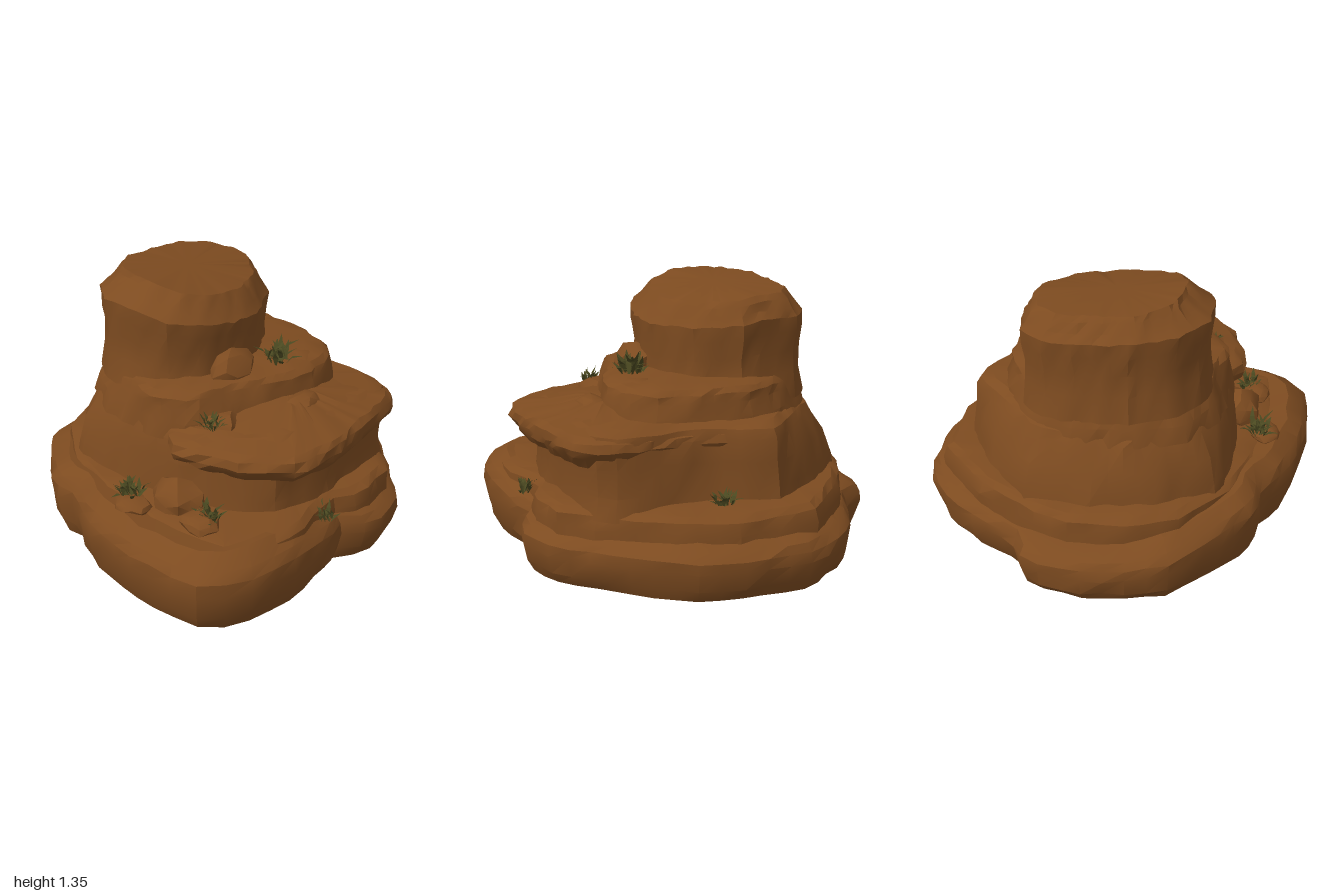
import * as THREE from 'three';
import { toCreasedNormals } from 'three/addons/utils/BufferGeometryUtils.js';

const SIDES = 56;
const clamp01 = (v) => Math.min(1, Math.max(0, v));

function makeRandom(seed) {
  let s = seed;
  return () => (s = (s * 16807) % 2147483647) / 2147483647;
}

// Distance from (cx, cz) to a closed [x, z] outline along an angle
function reach(outline, cx, cz, angle) {
  const dx = Math.cos(angle), dz = Math.sin(angle);
  let best = 0;
  outline.forEach(([ax, az], i) => {
    const [bx, bz] = outline[(i + 1) % outline.length];
    const ex = bx - ax, ez = bz - az;
    const det = ex * dz - ez * dx;
    if (Math.abs(det) < 1e-9) return;
    const px = ax - cx, pz = az - cz;
    const r = (ex * pz - ez * px) / det;
    const u = (dx * pz - dz * px) / det;
    if (u >= -1e-6 && u <= 1 + 1e-6 && r > best) best = r;
  });
  return best;
}

// Closed rock layer. Profile rows: [blend from lower to upper outline, height, scale]
function rockLayer({ lower, upper = lower, centre: [cx, cz], profile, lift = () => 0, rough = 0.01, seed }) {
  const random = makeRandom(seed);
  const pos = [], index = [];
  const top = profile[profile.length - 1][1];
  for (const [t, y, scale] of profile) {
    for (let i = 0; i < SIDES; i++) {
      const a = (i / SIDES) * Math.PI * 2;
      const r0 = reach(lower, cx, cz, a), r1 = reach(upper, cx, cz, a);
      const r = (r0 + (r1 - r0) * t) * scale + (random() - 0.5) * rough * 2;
      const x = cx + Math.cos(a) * r, z = cz + Math.sin(a) * r;
      const bump = y < 0.02 ? 0 : (random() - 0.5) * rough;
      pos.push(x, y + lift(x, z) * (y / top) + bump, z);
    }
  }
  const rows = profile.length;
  for (let j = 0; j < rows - 1; j++) {
    for (let i = 0; i < SIDES; i++) {
      const n = (i + 1) % SIDES;
      const a = j * SIDES + i, b = j * SIDES + n, c = a + SIDES, d = b + SIDES;
      index.push(a, c, b, b, c, d);
    }
  }
  const under = rows * SIDES, over = under + 1, last = (rows - 1) * SIDES;
  pos.push(cx, profile[0][1], cz, cx, top + lift(cx, cz), cz);
  for (let i = 0; i < SIDES; i++) {
    const n = (i + 1) % SIDES;
    index.push(under, i, n, over, last + n, last + i);
  }
  const g = new THREE.BufferGeometry();
  g.setAttribute('position', new THREE.Float32BufferAttribute(pos, 3));
  g.setIndex(index);
  return toCreasedNormals(g, 0.5);
}

// Irregular boulder with half sizes s
function boulderGeometry(s, seed) {
  const g = new THREE.IcosahedronGeometry(1, 1);
  const p = g.attributes.position, v = new THREE.Vector3();
  for (let i = 0; i < p.count; i++) {
    v.fromBufferAttribute(p, i);
    v.multiplyScalar(1 + 0.16 * Math.sin(v.x * 4 + seed) * Math.cos(v.z * 5 + v.y * 3 + seed * 2));
    p.setXYZ(i, v.x, v.y, v.z);
  }
  return toCreasedNormals(g.scale(...s), 0.5);
}

// Tuft of bent, pointed leaves
function tuftGeometry(size, seed) {
  const random = makeRandom(seed);
  const pos = [];
  for (let i = 0; i < 34; i++) {
    const a = random() * Math.PI * 2, c = Math.cos(a), s = Math.sin(a);
    const bx = (random() - 0.5) * size * 0.7, bz = (random() - 0.5) * size * 0.7;
    const out = size * (0.2 + random() * 0.6), h = size * (0.3 + random() * 0.7), w = size * 0.11;
    const l = [bx + c * out * 0.45 - s * w, h * 0.6, bz + s * out * 0.45 + c * w];
    const r = [bx + c * out * 0.45 + s * w, h * 0.6, bz + s * out * 0.45 - c * w];
    const tip = [bx + c * out, h * (0.7 + random() * 0.4), bz + s * out];
    pos.push(bx, -0.01, bz, ...r, ...l, ...l, ...r, ...tip);
  }
  const g = new THREE.BufferGeometry();
  g.setAttribute('position', new THREE.Float32BufferAttribute(pos, 3));
  g.computeVertexNormals();
  return g;
}

export function createModel() {
  const group = new THREE.Group();
  const rock = new THREE.MeshStandardMaterial({ color: 0x7d4b20 });
  rock.name = 'brown rock';
  const leaf = new THREE.MeshStandardMaterial({ color: 0x4a4820, side: THREE.DoubleSide });
  leaf.name = 'olive leaf';
  const add = (name, geometry, material) => {
    const m = new THREE.Mesh(geometry, material);
    m.name = name;
    group.add(m);
    return m;
  };

  // Wide foot of the rock, higher at the front
  add('baseLayer', rockLayer({
    lower: [[-0.15, -1.01], [0.22, -0.96], [0.42, -0.88], [0.55, -0.77], [0.75, -0.53], [0.92, -0.31], [0.95, -0.03],
      [0.83, 0.07], [0.85, 0.2], [0.86, 0.55], [0.77, 0.86], [0.65, 0.98], [0.56, 1], [0.2, 0.985], [-0.15, 0.88],
      [-0.33, 0.74], [-0.5, 0.73], [-0.75, 0.48], [-0.89, 0.32], [-0.94, 0.14], [-0.95, -0.13], [-0.88, -0.39],
      [-0.71, -0.46], [-0.55, -0.71], [-0.42, -0.86]],
    centre: [0, 0], seed: 11, rough: 0.008,
    profile: [[0, 0.01, 0.94], [0, 0.07, 0.98], [0, 0.16, 1], [0, 0.21, 0.995], [0, 0.245, 0.96], [0, 0.28, 0.88]],
    lift: (x, z) => 0.11 * clamp01(z * 1.5 + 0.05 + x * 0.1),
  }), rock);

  // Second step above the foot
  add('lowerLedge', rockLayer({
    lower: [[-0.2, -0.91], [0.2, -0.87], [0.45, -0.75], [0.7, -0.5], [0.86, -0.3], [0.87, -0.03], [0.78, 0.1],
      [0.78, 0.28], [0.83, 0.45], [0.68, 0.82], [0.25, 0.82], [-0.15, 0.72], [-0.45, 0.6], [-0.72, 0.35], [-0.81, 0.1],
      [-0.81, -0.2], [-0.7, -0.42], [-0.5, -0.68]],
    centre: [0, 0], seed: 23, rough: 0.008,
    profile: [[0, 0.18, 1], [0, 0.3, 1], [0, 0.36, 0.985], [0, 0.385, 0.94], [0, 0.4, 0.8]],
    lift: (x) => 0.03 * clamp01(-x * 1.5),
  }), rock);

  // Main wall, leaning inwards on the left
  add('middleWall', rockLayer({
    lower: [[-0.1, -0.76], [0.04, -0.71], [0.16, -0.62], [0.35, -0.57], [0.62, -0.54], [0.74, -0.42], [0.73, 0.1],
      [0.66, 0.4], [0.45, 0.53], [0.2, 0.58], [0, 0.6], [-0.25, 0.59], [-0.48, 0.54], [-0.66, 0.25], [-0.71, -0.1],
      [-0.65, -0.4], [-0.4, -0.62]],
    upper: [[-0.1, -0.73], [0.04, -0.69], [0.16, -0.6], [0.35, -0.56], [0.64, -0.53], [0.76, -0.41], [0.75, 0.1],
      [0.68, 0.38], [0.45, 0.52], [0.2, 0.56], [0, 0.56], [-0.25, 0.5], [-0.45, 0.4], [-0.57, 0.15], [-0.58, -0.15],
      [-0.52, -0.37], [-0.33, -0.53]],
    centre: [0, 0], seed: 37,
    profile: [[0, 0.34, 1.02], [0.05, 0.45, 1], [0.35, 0.58, 1], [0.85, 0.69, 1], [1, 0.735, 0.98], [1, 0.76, 0.9]],
  }), rock);

  // Overhanging shelf on the right, rising inwards
  add('overhangingShelf', rockLayer({
    lower: [[0.05, -0.66], [0.3, -0.57], [0.65, -0.53], [0.81, -0.43], [0.83, -0.1], [0.84, 0.15], [0.79, 0.42],
      [0.55, 0.58], [0.35, 0.63], [0.17, 0.63], [0.08, 0.5], [0, 0]],
    centre: [0.42, 0], seed: 41,
    profile: [[0, 0.58, 0.86], [0, 0.635, 0.97], [0, 0.67, 1], [0, 0.71, 0.98], [0, 0.735, 0.92], [0, 0.76, 0.6],
      [0, 0.8, 0.3]],
  }), rock);

  // Upper step around the foot of the column, fading out at the back left
  add('upperLedge', rockLayer({
    lower: [[-0.08, -0.6], [0.2, -0.55], [0.42, -0.46], [0.52, -0.32], [0.52, -0.08], [0.45, 0.1], [0.37, 0.27],
      [0.28, 0.5], [0.05, 0.58], [-0.3, 0.52], [-0.52, 0.36], [-0.59, 0.1], [-0.58, -0.2], [-0.52, -0.36], [-0.35, -0.51]],
    upper: [[-0.08, -0.56], [0.2, -0.52], [0.4, -0.43], [0.49, -0.32], [0.49, -0.08], [0.41, 0.1], [0.32, 0.26],
      [0.22, 0.48], [0.03, 0.56], [-0.28, 0.45], [-0.47, 0.3], [-0.54, 0.1], [-0.53, -0.2], [-0.46, -0.33], [-0.33, -0.44]],
    centre: [-0.05, 0], seed: 53,
    profile: [[0, 0.68, 1], [0.4, 0.77, 1], [1, 0.84, 1], [1, 0.88, 0.985], [1, 0.905, 0.93], [1, 0.92, 0.78]],
  }), rock);

  // Tall column with a sloping cap, stepped in at the front
  add('column', rockLayer({
    lower: [[-0.5, -0.33], [-0.38, -0.44], [-0.08, -0.44], [0.1, -0.3], [0.2, -0.08], [0.21, 0.1], [0.14, 0.3],
      [0.04, 0.42], [-0.12, 0.47], [-0.35, 0.44], [-0.5, 0.3], [-0.56, 0.08], [-0.54, -0.2]],
    upper: [[-0.46, -0.27], [-0.35, -0.4], [-0.08, -0.4], [0.08, -0.24], [0.15, 0], [0.11, 0.2], [0.03, 0.31],
      [-0.12, 0.37], [-0.38, 0.3], [-0.5, 0.12], [-0.49, -0.1]],
    centre: [-0.18, 0], seed: 67, rough: 0.008,
    profile: [[0, 0.8, 1.03], [0, 0.93, 0.98], [0, 1.04, 0.97], [0, 1.14, 1], [0, 1.215, 1.01], [0.5, 1.25, 1],
      [1, 1.295, 1], [1, 1.32, 0.93]],
    lift: (x, z) => 0.075 * z - 0.2 * Math.max(0, x + 0.17) + 0.01,
  }), rock);

  // Boulders half sunk in the ledges: position, half sizes
  [[[0.19, 0.92, 0.14], [0.11, 0.1, 0.14]], [[0.23, 0.42, 0.62], [0.14, 0.11, 0.11]],
    [[0.42, 0.4, 0.7], [0.1, 0.05, 0.08]], [[0.52, 0.76, 0], [0.08, 0.06, 0.13]],
    [[0.29, 0.74, 0.37], [0.11, 0.07, 0.1]], [[0.06, 0.39, 0.75], [0.1, 0.04, 0.08]],
    [[0.36, 0.89, -0.2], [0.08, 0.03, 0.1]]].forEach(([p, s], i) => {
    add('boulder', boulderGeometry(s, i + 1), rock).position.set(...p);
  });

  // Plant tufts: position, size
  [[0.32, 0.91, -0.06, 0.135], [0.31, 0.76, 0.45, 0.08], [0.02, 0.41, 0.72, 0.11], [0.45, 0.41, 0.66, 0.1],
    [0.18, 0.385, -0.69, 0.09], [0.8, 0.31, 0.2, 0.08]].forEach(([x, y, z, size], i) => {
    add('plantTuft', tuftGeometry(size, 101 + i * 17), leaf).position.set(x, y, z);
  });

  return group;
}
